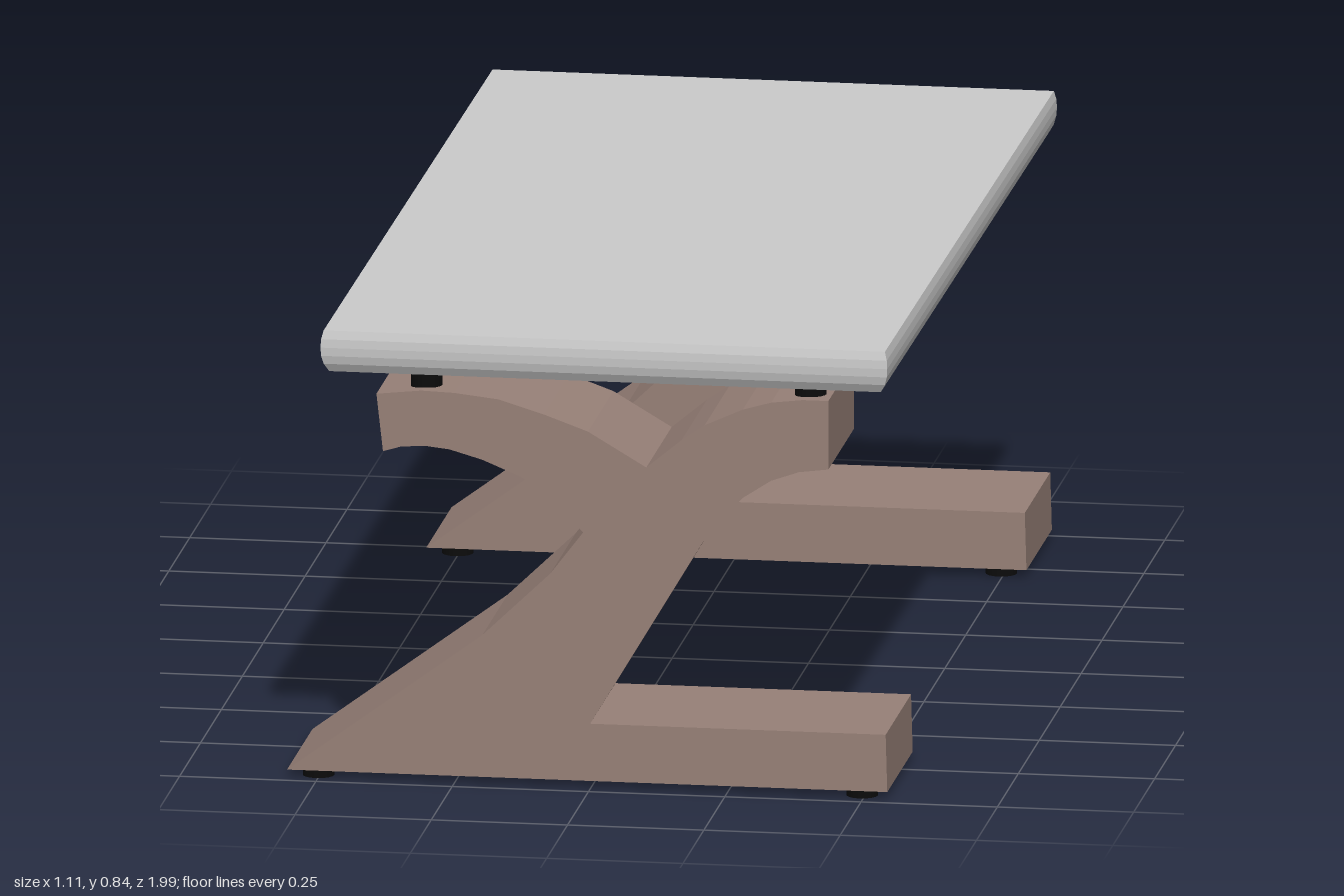
import * as THREE from 'three';

const wood = new THREE.MeshStandardMaterial({ color: 0x988178, flatShading: true });
const grey = new THREE.MeshStandardMaterial({ color: 0xcccccc, flatShading: true });
const black = new THREE.MeshStandardMaterial({ color: 0x0c0c0c });

// Side outline of one leg frame, counter-clockwise from the heel
const LEG_OUTLINE = [
  // foot bar
  [-0.556, 0.015], [0.545, 0.015], [0.542, 0.122], [0, 0.122],
  // right arm, underside then top
  [0.207, 0.47], [0.243, 0.515], [0.28, 0.555], [0.332, 0.589], [0.383, 0.607], [0.437, 0.614],
  [0.437, 0.742], [0.39, 0.742], [0.332, 0.735], [0.28, 0.72], [0.21, 0.688], [0.168, 0.659], [0.103, 0.605],
  // left arm, top then underside
  [-0.004, 0.668], [-0.085, 0.697], [-0.168, 0.722], [-0.25, 0.731], [-0.31, 0.733], [-0.392, 0.724],
  [-0.38, 0.617], [-0.347, 0.627], [-0.303, 0.63], [-0.258, 0.625], [-0.198, 0.608], [-0.13, 0.58], [-0.079, 0.551],
  // back of the slanted leg
  [-0.013, 0.479], [-0.073, 0.4], [-0.198, 0.28],
];
const LEG_WIDTH = 0.304;

function pad(name, x, z, bottom, top) {
  const mesh = new THREE.Mesh(new THREE.CylinderGeometry(0.029, 0.029, top - bottom, 16), black);
  mesh.position.set(x, (bottom + top) / 2, z);
  mesh.name = name;
  return mesh;
}

function makeLeg(name, z) {
  const leg = new THREE.Group();
  leg.name = name;
  leg.position.z = z;

  const shape = new THREE.Shape(LEG_OUTLINE.map(([x, y]) => new THREE.Vector2(x, y)));
  const geometry = new THREE.ExtrudeGeometry(shape, { depth: LEG_WIDTH, bevelEnabled: false });
  geometry.translate(0, 0, -LEG_WIDTH / 2);
  const frame = new THREE.Mesh(geometry, wood);
  frame.name = 'legFrame';
  leg.add(frame);

  // Floor pads below, spacer pads between arms and top
  for (const side of [-1, 1]) {
    for (const x of [-0.503, 0.494]) leg.add(pad('floorPad', x, side * 0.119, 0, 0.016));
    leg.add(pad('spacerPad', -0.308, side * 0.1, 0.728, 0.764));
    leg.add(pad('spacerPad', 0.397, side * 0.1, 0.738, 0.764));
  }
  return leg;
}

// Slab with gently rounded edges, each level inset by the profile
function makeTop() {
  const insets = [0.014, 0.005, 0.001, 0, 0.001, 0.005];
  const [w, h, d] = [1.04, 0.078, 1.99];
  const steps = insets.length - 1;
  const geometry = new THREE.BoxGeometry(w, h, d, 1, steps, 1);
  const p = geometry.attributes.position;
  for (let i = 0; i < p.count; i++) {
    const inset = insets[Math.round((p.getY(i) / h + 0.5) * steps)];
    p.setX(i, p.getX(i) - Math.sign(p.getX(i)) * inset);
    p.setZ(i, p.getZ(i) - Math.sign(p.getZ(i)) * inset);
  }
  geometry.computeVertexNormals();
  const top = new THREE.Mesh(geometry, grey);
  top.name = 'tableTop';
  top.position.set(0.031, 0.8, 0.004);
  top.rotation.set(-0.003, -0.003, 0); // sits very slightly askew
  return top;
}

export function createModel() {
  const table = new THREE.Group();
  table.name = 'table';
  table.add(makeTop(), makeLeg('frontLeg', 0.828), makeLeg('backLeg', -0.835));
  return table;
}
